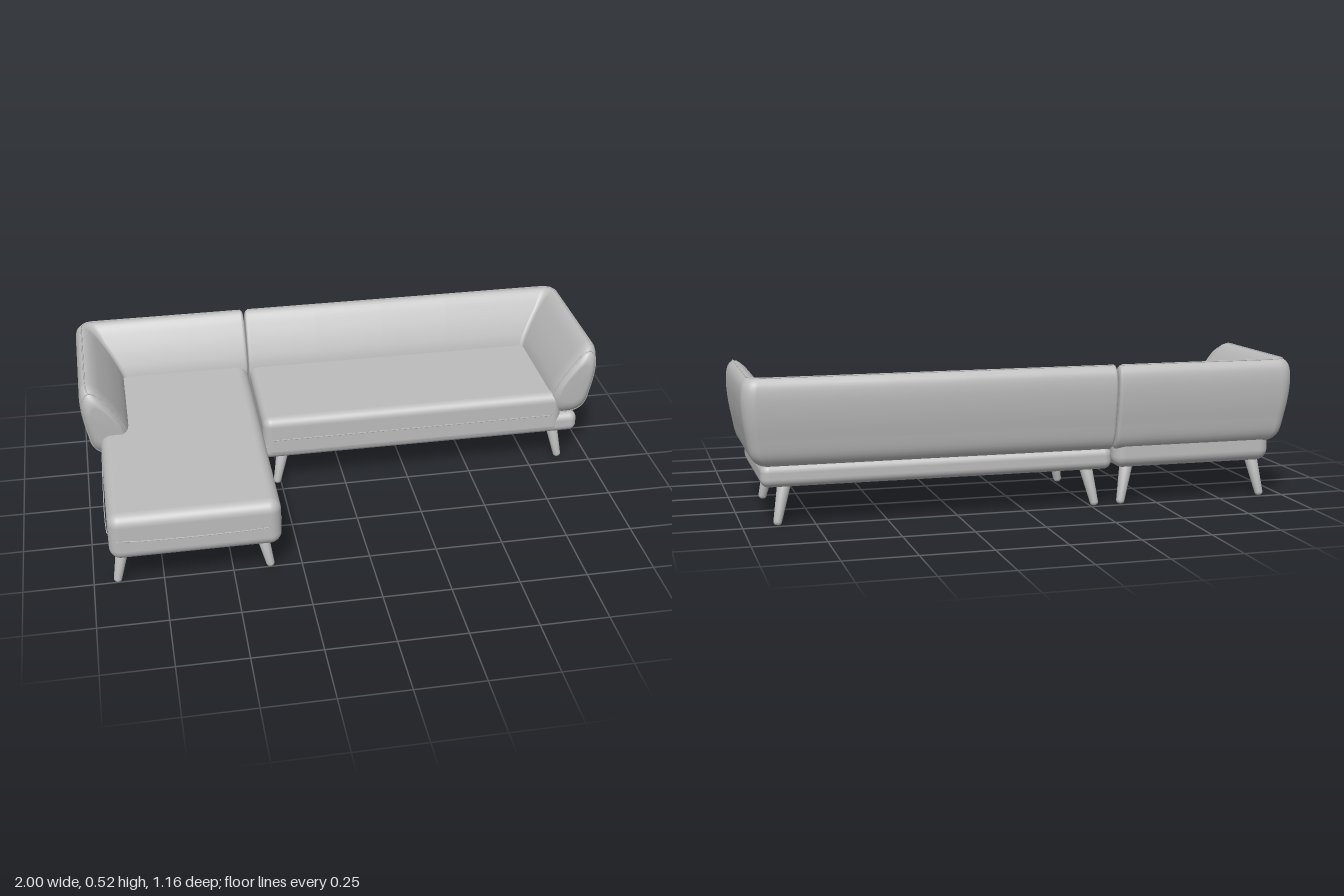
import * as THREE from 'three';
import { RoundedBoxGeometry } from 'three/addons/geometries/RoundedBoxGeometry.js';

const V = (x, y, z) => new THREE.Vector3(x, y, z);

// Cross-section of the padded back: inset from the outer face, height
const PROFILE = new THREE.CatmullRomCurve3([
  [0.065, 0.212], [0.035, 0.238], [0.014, 0.32], [0.002, 0.4], [0, 0.465], [0.008, 0.503],
  [0.028, 0.522], [0.05, 0.508], [0.085, 0.455], [0.118, 0.39], [0.14, 0.33], [0.147, 0.27], [0.13, 0.215],
].map(([t, y]) => V(t, y, 0)), true, 'centripetal').getSpacedPoints(56).slice(0, 56);

const TC = 0.08, YC = 0.365; // centre of the cross-section
const BACK_Z = 0.577;

// Rings of an L-shaped back: arm front, arm, corner, back, seam end
function backRings(side, seamX) {
  const rings = [];
  const addRing = (place, st = 1, sy = 1) => rings.push(PROFILE.map((p) => {
    const t = TC + (p.x - TC) * st, y = YC + (p.y - YC) * sy;
    const tArm = t + Math.max(0, t - 0.03) * 0.28; // the arm is padded a little thicker
    const [x, z] = place(t, tArm, y);
    return V(side * x, y, z);
  }));
  // rounded front of the arm
  const R = 0.075, front = 0.02;
  for (let i = 0; i <= 8; i++) {
    const a = Math.PI / 2 * (1 - i / 8), k = 1 - Math.cos(a);
    addRing((t, ta, y) => [1 - ta, front - R + R * Math.sin(a) + 0.09 * Math.min(0, y - 0.42)],
      1 - k * 0.45, 1 - k * R / 0.155);
  }
  // straight arm
  for (const z of [-0.12, -0.25, -0.38]) addRing((t, ta) => [1 - ta, z]);
  // rounded corner
  for (let i = 0; i <= 8; i++) {
    const a = Math.PI / 2 * i / 8;
    addRing((t, ta) => {
      const r = Math.max(0.05 - t * 0.4, 0.015);
      return [1 - ta - r + r * Math.cos(a), -(BACK_Z - t - r + r * Math.sin(a))];
    });
  }
  // straight back, ending in a softly rounded seam edge
  const end = side * seamX, r = 0.012;
  for (let i = 1; i <= 4; i++) {
    const x = THREE.MathUtils.lerp(0.78, end + r, i / 4);
    addRing((t) => [x, -(BACK_Z - t)]);
  }
  for (let i = 1; i <= 4; i++) {
    const a = Math.PI / 2 * i / 4, k = 1 - r * (1 - Math.cos(a)) / 0.08;
    addRing((t) => [end + r - r * Math.sin(a), -(BACK_Z - t)], k, k);
  }
  return rings;
}

// Closed skin over a list of rings
function loft(rings, side) {
  const n = rings[0].length, m = rings.length, pos = [], idx = [];
  rings.forEach((ring) => ring.forEach((p) => pos.push(p.x, p.y, p.z)));
  const tri = (a, b, c) => (side > 0 ? idx.push(a, b, c) : idx.push(a, c, b));
  for (const ring of [rings[0], rings[m - 1]]) {
    const c = ring.reduce((s, p) => s.add(p), V(0, 0, 0)).divideScalar(n);
    pos.push(c.x, c.y, c.z);
  }
  for (let k = 0; k < n; k++) {
    const q = (k + 1) % n;
    for (let i = 0; i < m - 1; i++) {
      const a = i * n + k, b = i * n + q;
      tri(a, a + n, b);
      tri(b, a + n, b + n);
    }
    tri(m * n, k, q);
    tri(m * n + 1, (m - 1) * n + q, (m - 1) * n + k);
  }
  const g = new THREE.BufferGeometry();
  g.setAttribute('position', new THREE.Float32BufferAttribute(pos, 3));
  g.setIndex(idx);
  g.computeVertexNormals();
  return g;
}

export function createModel() {
  const model = new THREE.Group();
  model.name = 'cornerSofa';
  const fabric = new THREE.MeshStandardMaterial({ color: 0xbcbcbc });
  fabric.name = 'grey fabric';

  const add = (name, geometry) => {
    const mesh = new THREE.Mesh(geometry, fabric);
    mesh.name = name;
    model.add(mesh);
    return mesh;
  };
  const box = (name, [x0, x1], [y0, y1], [z0, z1], r) =>
    add(name, new RoundedBoxGeometry(x1 - x0, y1 - y0, z1 - z0, 6, r))
      .position.set((x0 + x1) / 2, (y0 + y1) / 2, (z0 + z1) / 2);
  const piping = (name, points, closed, r = 0.0025) =>
    add(name, new THREE.TubeGeometry(new THREE.CatmullRomCurve3(points, closed, 'centripetal'),
      points.length * 3, r, 6, closed));

  // Chaise and seat bodies
  box('chaiseSeat', [-0.935, -0.327], [0.14, 0.322], [-0.528, 0.575], 0.042);
  box('sofaBase', [-0.32, 0.938], [0.14, 0.222], [-0.528, -0.002], 0.03);
  box('sofaSeat', [-0.319, 0.87], [0.142, 0.316], [-0.5, 0], 0.035);

  // Seams between base and cushion
  const seamY = 0.226;
  piping('chaiseSeam', [V(-0.935, seamY, -0.1), V(-0.935, seamY, 0.533), V(-0.923, seamY, 0.563),
    V(-0.893, seamY, 0.575), V(-0.369, seamY, 0.575), V(-0.339, seamY, 0.563),
    V(-0.327, seamY, 0.533), V(-0.327, seamY, 0)], false, 0.002);
  piping('sofaSeam', [V(-0.285, seamY, 0), V(0.3, seamY, 0), V(0.83, seamY, 0)], false, 0.002);

  // Backs with arms, and their piping
  const ridge = PROFILE.reduce((best, p, i) => (p.y > PROFILE[best].y ? i : best), 0);
  for (const [name, side, seamX] of [['chaise', -1, -0.326], ['sofa', 1, -0.321]]) {
    const rings = backRings(side, seamX);
    add(name + 'BackAndArm', loft(rings, side));
    piping(name + 'ArmPiping', rings[4], true);
    piping(name + 'TopPiping', rings.slice(4, -4).map((ring) => ring[ridge]), false);
  }

  // Splayed tapered legs with rounded feet
  const legProfile = [[0, 0], [0.008, 0.001], [0.013, 0.005], [0.015, 0.012], [0.024, 0.15], [0, 0.15]]
    .map(([r, y]) => new THREE.Vector2(r, y));
  const legGeometry = new THREE.LatheGeometry(legProfile, 20);
  const leg = (x, dx, z, dz) => {
    const mesh = add('leg', legGeometry);
    mesh.position.set(x, 0.003, z);
    mesh.quaternion.setFromUnitVectors(V(0, 1, 0), V(dx, 0.14, dz).normalize());
  };
  for (const [xs, zs] of [[[-0.917, -0.363], [0.495, -0.485]], [[-0.267, 0.882], [-0.05, -0.485]]]) {
    xs.forEach((x, i) => zs.forEach((z, j) =>
      leg(x, i ? -0.03 : 0.03, z, j ? 0.022 : -0.022)));
  }
  return model;
}
